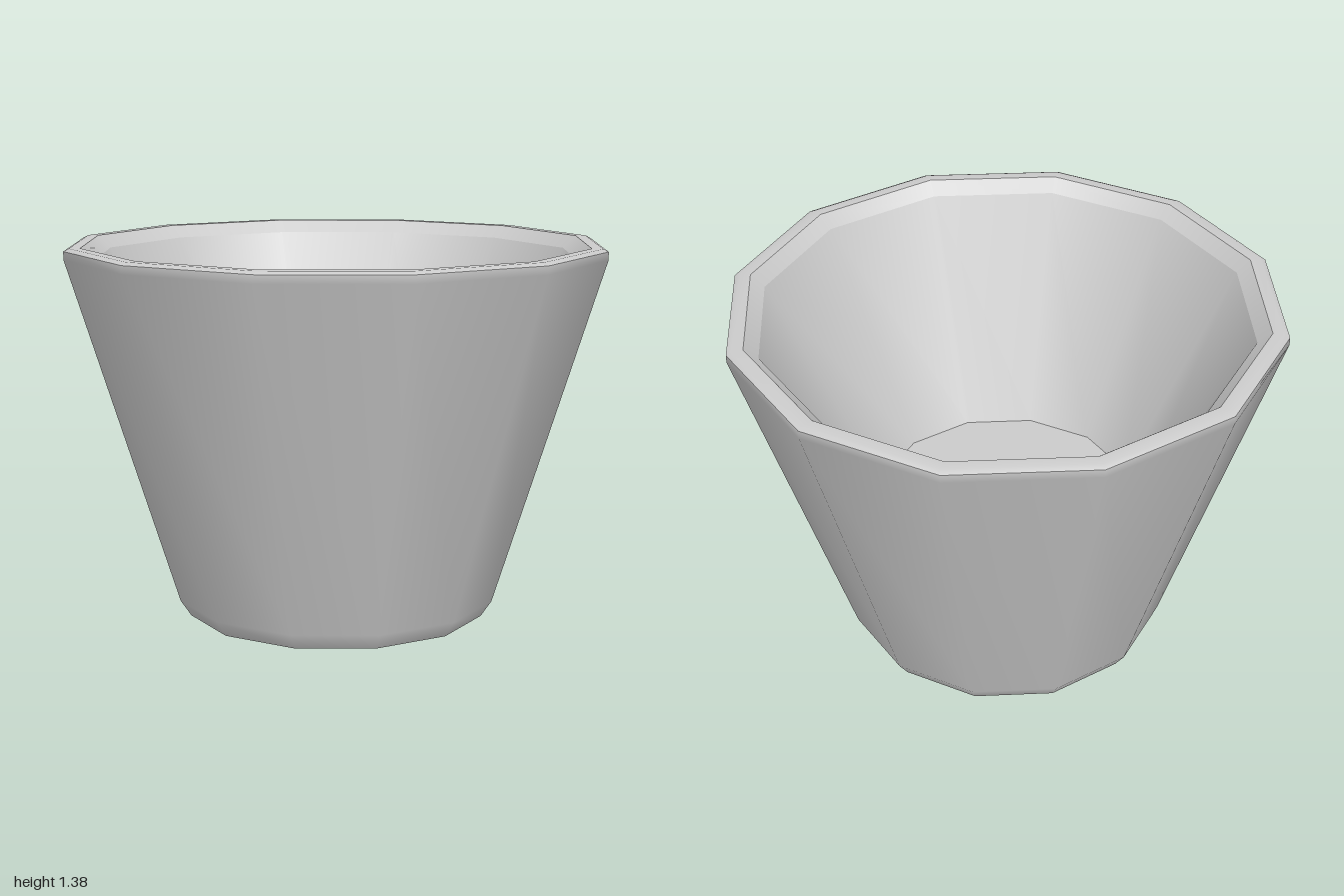
import * as THREE from 'three';

const SIDES = 12;
const material = new THREE.MeshStandardMaterial({ color: 0xcccccc, side: THREE.DoubleSide });

// Twelve-sided turned surface from [radius, height] points, smooth within each part
function turned(name, profile) {
  const points = profile.map(([r, y]) => new THREE.Vector2(r, y));
  const mesh = new THREE.Mesh(new THREE.LatheGeometry(points, SIDES), material);
  mesh.name = name;
  return mesh;
}

export function createModel() {
  const group = new THREE.Group();
  group.name = 'pot';
  group.add(
    // Flared side with a bevelled foot
    turned('outerWall', [[0.56, 0], [0.6, 0.06], [1, 1.345], [1, 1.375]]),
    // Lip with a small outer bevel
    turned('rim', [[1, 1.375], [0.98, 1.385], [0.94, 1.385]]),
    turned('rimInnerBevel', [[0.94, 1.385], [0.89, 1.34]]),
    // Inside of the bowl
    turned('innerWall', [[0.89, 1.34], [0.485, 0.53]]),
    turned('floor', [[0.485, 0.53], [0, 0.53]]),
    // Hollow underneath the floor
    turned('hollowCeiling', [[0, 0.51], [0.485, 0.51]]),
    turned('hollowWall', [[0.485, 0.51], [0.56, 0]]),
  );
  return group;
}
